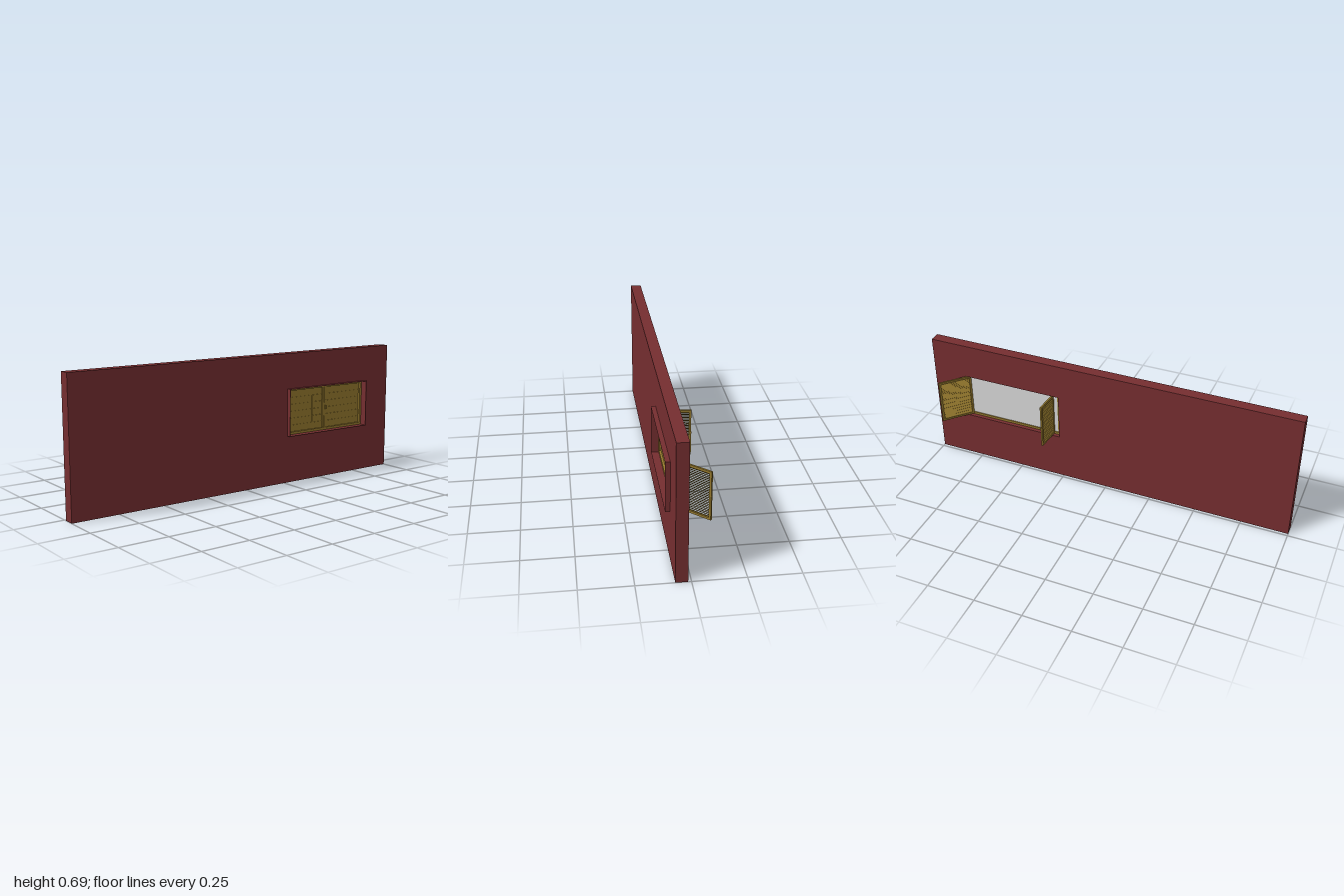
import * as THREE from 'three';

const brick = new THREE.MeshStandardMaterial({ color: 0x752e30 });
brick.name = 'brickRed';
const wood = new THREE.MeshStandardMaterial({ color: 0x94782d });
wood.name = 'ochreWood';
const glass = new THREE.MeshStandardMaterial({ color: 0xd8d8d8 });
glass.name = 'paleGlass';

// Window opening in the wall
const Z0 = -0.82, Z1 = -0.27, Y0 = 0.254, Y1 = 0.505;
const ZC = (Z0 + Z1) / 2, YC = (Y0 + Y1) / 2;

function box(parent, name, mat, size, pos) {
  const m = new THREE.Mesh(new THREE.BoxGeometry(...size), mat);
  m.name = name;
  m.position.set(...pos);
  parent.add(m);
  return m;
}

// Rectangle with a rectangular hole, drawn in the z-y plane and extruded from x0 to x1
function pierced(parent, name, mat, outer, hole, x0, x1) {
  const loop = ([z0, z1, y0, y1]) =>
    [[-z1, y0], [-z0, y0], [-z0, y1], [-z1, y1]].map(p => new THREE.Vector2(...p));
  const shape = new THREE.Shape(loop(outer));
  shape.holes.push(new THREE.Path(loop(hole)));
  const geo = new THREE.ExtrudeGeometry(shape, { depth: x1 - x0, bevelEnabled: false });
  geo.rotateY(Math.PI / 2).translate(x0, 0, 0);
  const m = new THREE.Mesh(geo, mat);
  m.name = name;
  parent.add(m);
}

const inset = d => [Z0 + d, Z1 - d, Y0 + d, Y1 - d];

// Louvred leaf running from its hinge to its free edge, both given as [x, z]
function shutter(name, hinge, tip) {
  const g = new THREE.Group();
  g.name = name;
  const dx = tip[0] - hinge[0], dz = tip[1] - hinge[1];
  const len = Math.hypot(dx, dz), h = 0.242, rail = 0.011, t = 0.009;
  for (const s of [0, 1]) {
    box(g, 'shutterStile', wood, [rail, h, t], [s ? len - rail / 2 : rail / 2, 0, 0]);
    box(g, 'shutterRail', wood, [len - 2 * rail, rail, t], [len / 2, (s - 0.5) * (h - rail), 0]);
  }
  const count = 26, step = (h - 2 * rail) / count;
  for (let i = 0; i < count; i++) {
    const slat = box(g, 'louvre', wood, [len - 2 * rail, 0.0105, 0.0015],
      [len / 2, -h / 2 + rail + (i + 0.5) * step, 0]);
    slat.rotation.x = 0.75;
  }
  box(g, 'shutterCatch', wood, [0.003, 0.008, 0.005], [len + 0.001, -0.003, 0]);
  g.position.set(hinge[0], 0.379, hinge[1]);
  g.rotation.y = Math.atan2(-dz, dx);
  return g;
}

export function createModel() {
  const model = new THREE.Group();
  model.name = 'wallWithWindow';

  // Wall and the thin surround projecting from its outer face
  pierced(model, 'wall', brick, [-1, 1, 0, 0.693], inset(0), 0.015, 0.072);
  pierced(model, 'windowSurround', brick, inset(-0.001), inset(0.001), 0.06, 0.095);

  // Fixed frame and pane
  pierced(model, 'windowFrame', wood, inset(0.001), inset(0.014), 0.034, 0.058);
  box(model, 'pane', glass, [0.002, Y1 - Y0 - 0.02, Z1 - Z0 - 0.02], [0.04, YC, ZC]);

  // Boarded leaves, mirrored about the middle of the window
  const leaves = new THREE.Group();
  leaves.name = 'boardedLeaves';
  const height = Y1 - Y0 - 0.026, half = (Z1 - Z0) / 2 - 0.013, rows = 6;
  box(leaves, 'leafBacking', wood, [0.003, height, 2 * half], [0.0435, YC, ZC]);
  for (const s of [-1, 1]) {
    for (let i = 0; i < rows; i++) {
      const y = YC + ((i + 0.5) / rows - 0.5) * height, bh = height / rows - 0.0015;
      box(leaves, 'outerBoard', wood, [0.002, bh, half - 0.086], [0.046, y, ZC + s * (half + 0.086) / 2]);
      box(leaves, 'innerBoard', wood, [0.004, bh, 0.07], [0.047, y, ZC + s * 0.05]);
    }
    box(leaves, 'meetingStile', wood, [0.007, height, 0.013], [0.0485, YC, ZC + s * 0.0075]);
  }
  box(leaves, 'handle', wood, [0.008, 0.022, 0.006], [0.055, YC, ZC - 0.008]);
  model.add(leaves);

  // Open louvred shutters on the other face
  model.add(shutter('rearShutter', [0.038, -0.797], [-0.095, -0.918]));
  model.add(shutter('frontShutter', [0.038, -0.31], [-0.095, -0.318]));
  return model;
}
